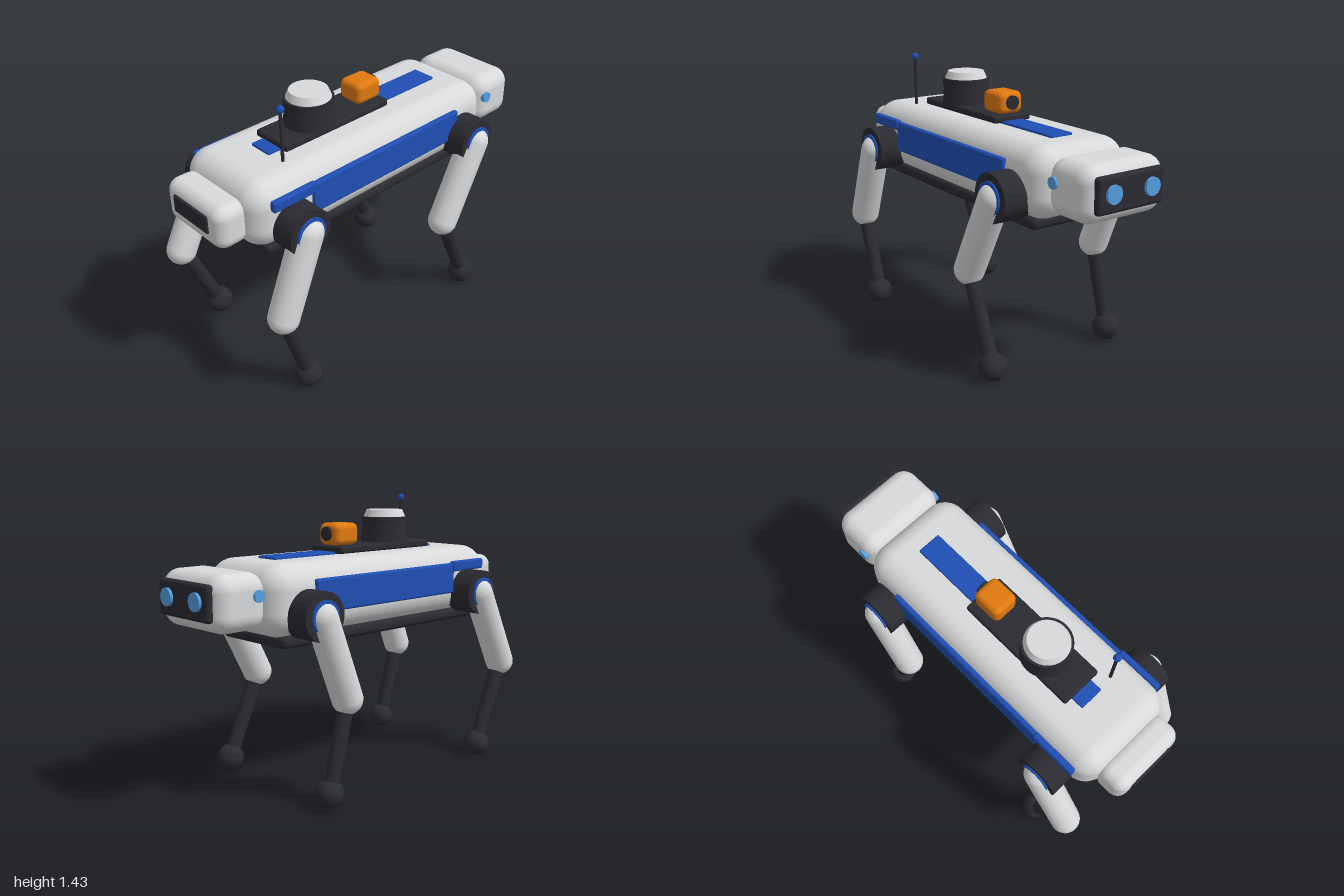
import * as THREE from 'three';
import { RoundedBoxGeometry } from 'three/addons/geometries/RoundedBoxGeometry.js';

const mat = (name, color) => {
  const m = new THREE.MeshStandardMaterial({ color });
  m.name = name;
  return m;
};

export function createModel() {
  const shell = mat('light grey shell', 0xd8d9da);
  const dark = mat('dark charcoal', 0x2b2b32);
  const blue = mat('blue trim', 0x1f4fb4);
  const orange = mat('orange housing', 0xe07a10);
  const lens = mat('light blue lens', 0x559fe0);

  const root = new THREE.Group();
  root.name = 'quadrupedRobot';

  const add = (name, geometry, material, parent = root) => {
    const mesh = new THREE.Mesh(geometry, material);
    mesh.name = name;
    parent.add(mesh);
    return mesh;
  };

  // Rounded box given by its limits on each axis
  const box = (name, material, [x0, x1], [y0, y1], [z0, z1], r, seg = 5) => {
    const mesh = add(name, new RoundedBoxGeometry(x1 - x0, y1 - y0, z1 - z0, seg, r), material);
    mesh.position.set((x0 + x1) / 2, (y0 + y1) / 2, (z0 + z1) / 2);
    return mesh;
  };

  // Cylinder centred at a point, lying along the chosen axis
  const disc = (name, material, axis, rTop, rBottom, h, [x, y, z], parent = root) => {
    const g = new THREE.CylinderGeometry(rTop, rBottom, h, 40);
    if (axis === 'x') g.rotateZ(-Math.PI / 2);
    if (axis === 'z') g.rotateX(Math.PI / 2);
    const mesh = add(name, g, material, parent);
    mesh.position.set(x, y, z);
    return mesh;
  };

  // Stretch a Y-axis mesh's placement between two points
  const align = (mesh, a, b) => {
    mesh.position.copy(a).add(b).multiplyScalar(0.5);
    mesh.quaternion.setFromUnitVectors(new THREE.Vector3(0, 1, 0), a.clone().sub(b).normalize());
  };

  // Trunk and belly
  box('body', shell, [-0.855, 0.695], [0.805, 1.15], [-0.28, 0.28], 0.12, 8);
  box('bellyPlate', dark, [-0.765, 0.605], [0.755, 0.82], [-0.235, 0.235], 0.028);

  // Head with face plate and eyes
  box('head', shell, [0.68, 0.962], [0.86, 1.125], [-0.237, 0.237], 0.08, 7);
  box('facePlate', dark, [0.945, 0.986], [0.917, 1.087], [-0.19, 0.19], 0.018);
  for (const s of [1, -1]) {
    disc('eye', lens, 'x', 0.042, 0.042, 0.03, [0.985, 1.007, s * 0.11]);
    disc('sideLens', lens, 'z', 0.028, 0.028, 0.03, [0.747, 1.022, s * 0.233]);
  }

  // Rear module
  box('rearModule', shell, [-0.99, -0.82], [0.866, 1.085], [-0.205, 0.205], 0.06, 7);
  box('rearPlate', dark, [-1.0, -0.97], [0.945, 1.037], [-0.125, 0.125], 0.01, 3);

  // Side panels
  for (const s of [1, -1]) {
    const span = (a, b) => (s > 0 ? [a, b] : [-b, -a]);
    box('sidePanel', blue, [-0.53, 0.45], [0.915, 1.075], span(0.265, 0.297), 0.012, 3);
    box('rearSidePanel', blue, [-0.765, -0.515], [1.03, 1.085], span(0.27, 0.305), 0.012, 3);
  }

  // Back stripe and equipment plate
  box('backStripe', blue, [-0.595, 0.51], [1.14, 1.162], [-0.063, 0.063], 0.006, 2);
  box('equipmentPlate', dark, [-0.53, 0.127], [1.153, 1.19], [-0.109, 0.109], 0.012, 3);

  // Spinning scanner
  disc('scannerBase', dark, 'y', 0.115, 0.125, 0.1, [-0.295, 1.238, 0]);
  disc('scannerBand', dark, 'y', 0.122, 0.122, 0.036, [-0.295, 1.302, 0]);
  disc('scannerCap', shell, 'y', 0.094, 0.11, 0.036, [-0.295, 1.338, 0]);

  // Camera
  box('camera', orange, [-0.04, 0.117], [1.19, 1.3], [-0.07, 0.07], 0.03);
  disc('cameraLens', dark, 'x', 0.035, 0.035, 0.03, [0.114, 1.248, 0]);

  // Antenna
  disc('antennaRod', dark, 'y', 0.008, 0.008, 0.27, [-0.578, 1.27, 0.142]);
  add('antennaTip', new THREE.SphereGeometry(0.019, 20, 14), blue).position.set(-0.578, 1.41, 0.142);

  // Legs: name, side, hip x, knee x, foot x
  const legs = [
    ['frontLeftLeg', 1, 0.495, 0.288, 0.477],
    ['frontRightLeg', -1, 0.495, 0.336, 0.453],
    ['backLeftLeg', 1, -0.643, -0.802, -0.667],
    ['backRightLeg', -1, -0.643, -0.85, -0.66],
  ];
  for (const [name, s, hipX, kneeX, footX] of legs) {
    const leg = new THREE.Group();
    leg.name = name;
    root.add(leg);
    const z = s * 0.372;
    const hip = new THREE.Vector3(hipX, 0.912, z);
    const knee = new THREE.Vector3(kneeX, 0.508, z);
    const foot = new THREE.Vector3(footX, 0.07, z);

    disc('hipJoint', dark, 'z', 0.117, 0.117, 0.15, [hipX, 0.917, s * 0.322], leg);
    disc('hipRing', blue, 'z', 0.08, 0.08, 0.02, [hipX, 0.917, s * 0.396], leg);
    align(add('upperLeg', new THREE.CapsuleGeometry(0.076, hip.distanceTo(knee), 10, 32), shell, leg), hip, knee);
    align(add('lowerLeg', new THREE.CylinderGeometry(0.04, 0.037, knee.distanceTo(foot), 28), dark, leg), knee, foot);
    add('foot', new THREE.SphereGeometry(0.07, 32, 20), dark, leg).position.copy(foot);
  }

  return root;
}
